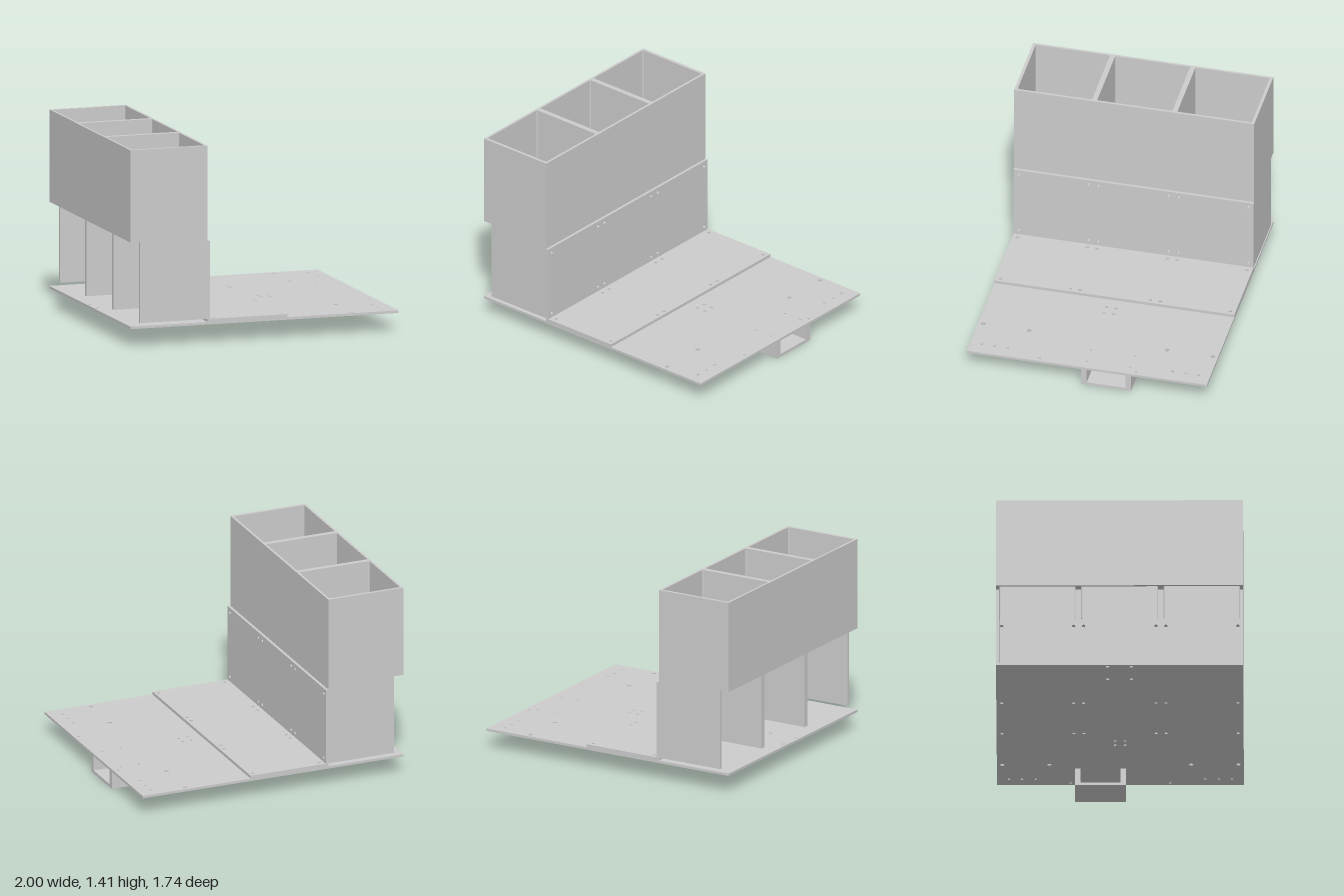
import * as THREE from 'three';

const material = new THREE.MeshStandardMaterial({ color: 0xcccccc });

// Rectangle from opposite corners, with optional rounded corners
function rect(target, x0, y0, x1, y1, r = 0) {
  if (!r) {
    target.moveTo(x0, y0).lineTo(x1, y0).lineTo(x1, y1).lineTo(x0, y1).closePath();
    return target;
  }
  target.absarc(x1 - r, y0 + r, r, -Math.PI / 2, 0);
  target.absarc(x1 - r, y1 - r, r, 0, Math.PI / 2);
  target.absarc(x0 + r, y1 - r, r, Math.PI / 2, Math.PI);
  target.absarc(x0 + r, y0 + r, r, Math.PI, Math.PI * 1.5);
  target.closePath();
  return target;
}

const circle = ([x, y, r]) => new THREE.Path().absarc(x, y, r, 0, Math.PI * 2, true);

const extrude = (shape, depth) =>
  new THREE.ExtrudeGeometry(shape, { depth, bevelEnabled: false, curveSegments: 8 });

export function createModel() {
  const model = new THREE.Group();
  const add = (name, geometry, parent = model) => {
    const mesh = new THREE.Mesh(geometry, material);
    mesh.name = name;
    parent.add(mesh);
    return mesh;
  };
  // Box given by its limits on each axis
  const box = (name, [x0, x1], [y0, y1], [z0, z1], parent) =>
    add(name, new THREE.BoxGeometry(x1 - x0, y1 - y0, z1 - z0), parent)
      .position.set((x0 + x1) / 2, (y0 + y1) / 2, (z0 + z1) / 2);
  // Horizontal slab: cutouts are paths in x and -z
  const slab = (name, [x0, x1], [y0, y1], cutouts, parent) => {
    const shape = rect(new THREE.Shape(), x0, -W, x1, W);
    shape.holes.push(...cutouts);
    add(name, extrude(shape, y1 - y0).rotateX(-Math.PI / 2), parent).position.y = y0;
  };
  // Upright panel facing x: cutouts are paths in z and y
  const panel = (name, [x0, x1], [y0, y1], cutouts, parent) => {
    const shape = rect(new THREE.Shape(), -W, y0, W, y1);
    shape.holes.push(...cutouts);
    add(name, extrude(shape, x1 - x0).rotateY(-Math.PI / 2), parent).position.x = x1;
  };

  const W = 0.87; // half width along z
  const boltZ = [0.832, 0.325, 0.255].flatMap((z) => [-z, z]);
  const floorBolts = [-0.366, 0.14].flatMap((x) => boltZ.map((z) => [x, z, 0.012]));
  const wallBolts = [0.207, 0.692].flatMap((y) => boltZ.map((z) => [z, y, 0.012]));

  // Base plate with mirrored drill holes
  const baseHoles = [
    [0.66, 0.832, 0.016], [0.66, 0.5, 0.016],
    [0.9, 0.785, 0.01], [0.9, 0.693, 0.01], [0.9, 0.597, 0.01], [0.965, 0.35, 0.01],
    [0.265, 0.035, 0.011], [0.335, 0.035, 0.011],
    [-0.972, 0.084, 0.013], [-0.765, 0.084, 0.013],
  ].flatMap(([x, z, r]) => [[x, z, r], [x, -z, r]]);
  // Screw holes above the side walls of the channel
  for (const x of [0.787, 0.925]) for (const z of [-0.3, 0.02]) baseHoles.push([x, -z, 0.008]);
  slab('basePlate', [-1, 1], [0.13, 0.148], [...baseHoles, ...floorBolts].map(circle));

  // Angle bracket: floor and upright
  const bracket = new THREE.Group();
  bracket.name = 'angleBracket';
  model.add(bracket);
  slab('bracketFloor', [-0.405, 0.172], [0.148, 0.17], floorBolts.map(circle), bracket);
  panel('bracketUpright', [-0.425, -0.405], [0.148, 0.728], wallBolts.map(circle), bracket);

  // Three-bay hopper, open at top and bottom
  const hopper = new THREE.Group();
  hopper.name = 'hopper';
  model.add(hopper);
  const bays = [[-0.848, -0.309], [-0.272, 0.272], [0.309, 0.848]]
    .map(([a, b]) => rect(new THREE.Path(), -0.983, a, -0.443, b, 0.01));
  slab('hopperBays', [-1, -0.425], [0.75, 1.41], bays, hopper);
  panel('hopperLowerWall', [-0.443, -0.425], [0.17, 0.75], wallBolts.map(circle), hopper);
  for (const [z0, z1] of [[-W, -0.848], [-0.309, -0.272], [0.272, 0.309], [0.848, W]])
    box('hopperDivider', [-0.93, -0.443], [0.17, 0.75], [z0, z1], hopper);

  // U-shaped channel under the plate
  const channel = new THREE.Group();
  channel.name = 'channel';
  model.add(channel);
  const profile = new THREE.Shape([
    [-0.04, 0], [0.32, 0], [0.32, 0.13], [0.28, 0.13],
    [0.28, 0.022], [0, 0.022], [0, 0.13], [-0.04, 0.13],
  ].map(([x, y]) => new THREE.Vector2(x, y)));
  add('channelBody', extrude(profile, 0.278).rotateY(Math.PI / 2), channel).position.x = 0.722;

  return model;
}
